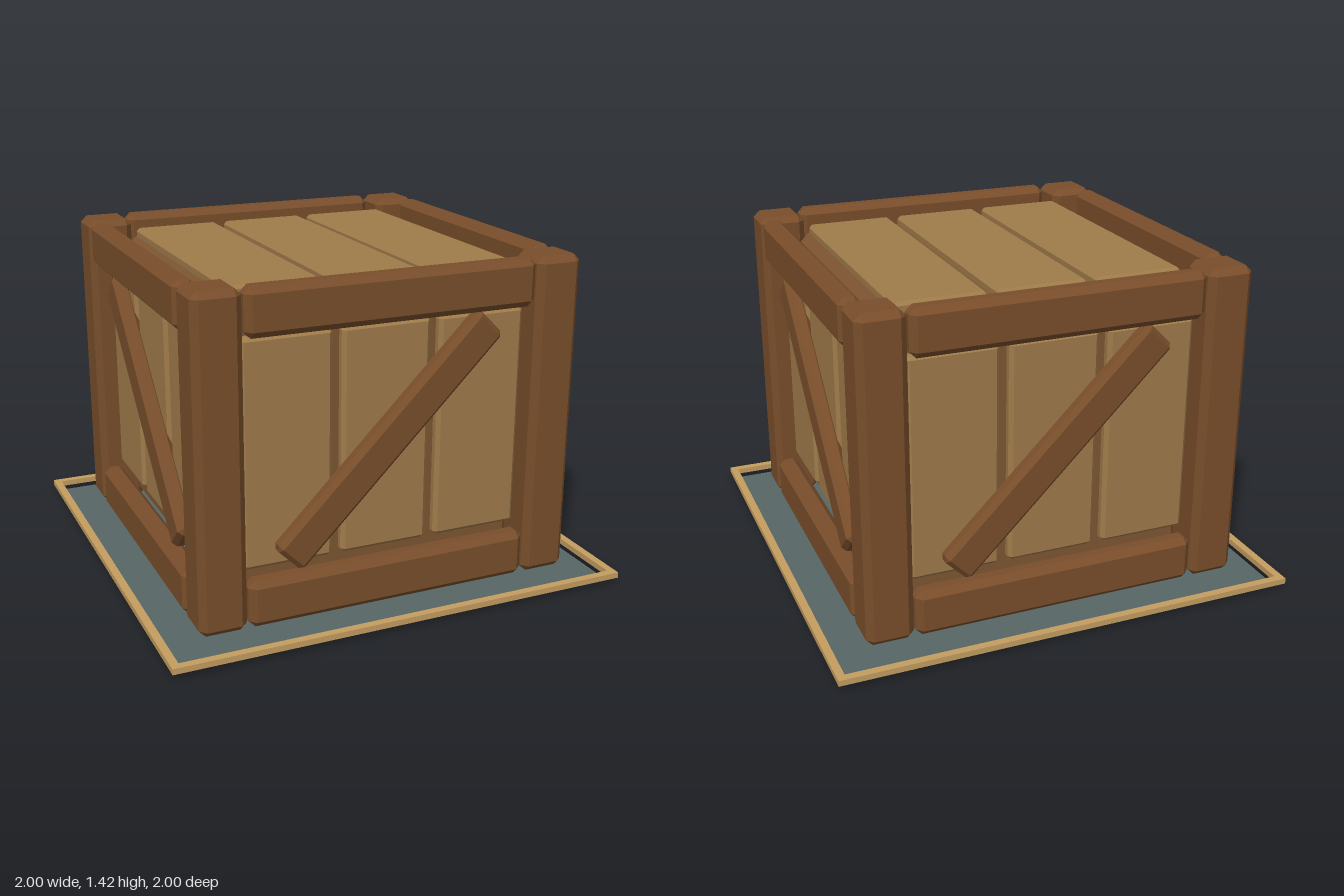
import * as THREE from 'three';
import { ConvexGeometry } from 'three/addons/geometries/ConvexGeometry.js';

const mat = (name, color) => {
  const m = new THREE.MeshStandardMaterial({ color });
  m.name = name;
  return m;
};

// Box with every edge cut by a flat chamfer c
function chamferBox(w, h, d, c) {
  const pts = [];
  for (const x of [-w / 2, w / 2]) for (const y of [-h / 2, h / 2]) for (const z of [-d / 2, d / 2]) {
    const ix = x - Math.sign(x) * c, iy = y - Math.sign(y) * c, iz = z - Math.sign(z) * c;
    pts.push(new THREE.Vector3(x, iy, iz), new THREE.Vector3(ix, y, iz), new THREE.Vector3(ix, iy, z));
  }
  return new ConvexGeometry(pts);
}

export function createModel() {
  const frameWood = mat('frame wood', 0x794e2b);
  const plankWood = mat('plank wood', 0x9f7b4a);
  const innerWood = mat('inner wood', 0x7e5631);
  const trimWood = mat('trim wood', 0xc49d60);
  const slate = mat('slate', 0x576666);

  const model = new THREE.Group();
  model.name = 'crate';
  const add = (parent, name, geo, material, x, y, z) => {
    const m = new THREE.Mesh(geo, material);
    m.name = name;
    m.position.set(x, y, z);
    parent.add(m);
    return m;
  };

  const bottom = 0.035, top = 1.42, mid = (bottom + top) / 2;

  // Floor sheet with a raised border
  const floor = add(model, 'floorSheet', new THREE.PlaneGeometry(1.935, 1.935), slate, 0, 0, 0);
  floor.rotation.x = -Math.PI / 2;
  slate.side = THREE.DoubleSide;
  for (const s of [-1, 1]) {
    add(model, 'floorBorder', new THREE.BoxGeometry(2, 0.025, 0.034), trimWood, 0, 0.0325, s * 0.983);
    add(model, 'floorBorder', new THREE.BoxGeometry(0.034, 0.025, 1.932), trimWood, s * 0.983, 0.0325, 0);
  }

  // Inner box
  add(model, 'innerBox', chamferBox(1.32, 1.27, 1.32, 0.04), innerWood, 0, 0.705, 0);

  // Corner posts
  const post = chamferBox(0.2, top - bottom, 0.2, 0.028);
  for (const x of [-0.73, 0.73]) for (const z of [-0.73, 0.73]) add(model, 'cornerPost', post, frameWood, x, mid, z);

  // Top planks
  const plankX = [-0.425, 0, 0.425];
  const topPlank = chamferBox(0.385, 0.06, 1.245, 0.014);
  for (const x of plankX) add(model, 'topPlank', topPlank, plankWood, x, 1.35, 0);

  // Four sides: planks, two rails and a diagonal brace that alternates direction
  const sidePlank = chamferBox(0.385, 0.955, 0.055, 0.016);
  const rail = chamferBox(1.245, 0.2, 0.095, 0.028);
  const brace = chamferBox(1.25, 0.16, 0.075, 0.02);
  ['front', 'left', 'back', 'right'].forEach((label, i) => {
    const side = new THREE.Group();
    side.name = label + 'Side';
    side.rotation.y = i * Math.PI / 2;
    for (const x of plankX) add(side, 'sidePlank', sidePlank, plankWood, x, mid, 0.715);
    for (const y of [bottom + 0.1, top - 0.1]) add(side, 'rail', rail, frameWood, 0, y, 0.7825);
    const b = add(side, 'diagonalBrace', brace, frameWood, 0, mid, 0.765);
    b.rotation.z = (i % 2 ? -1 : 1) * Math.PI / 4;
    model.add(side);
  });

  return model;
}
